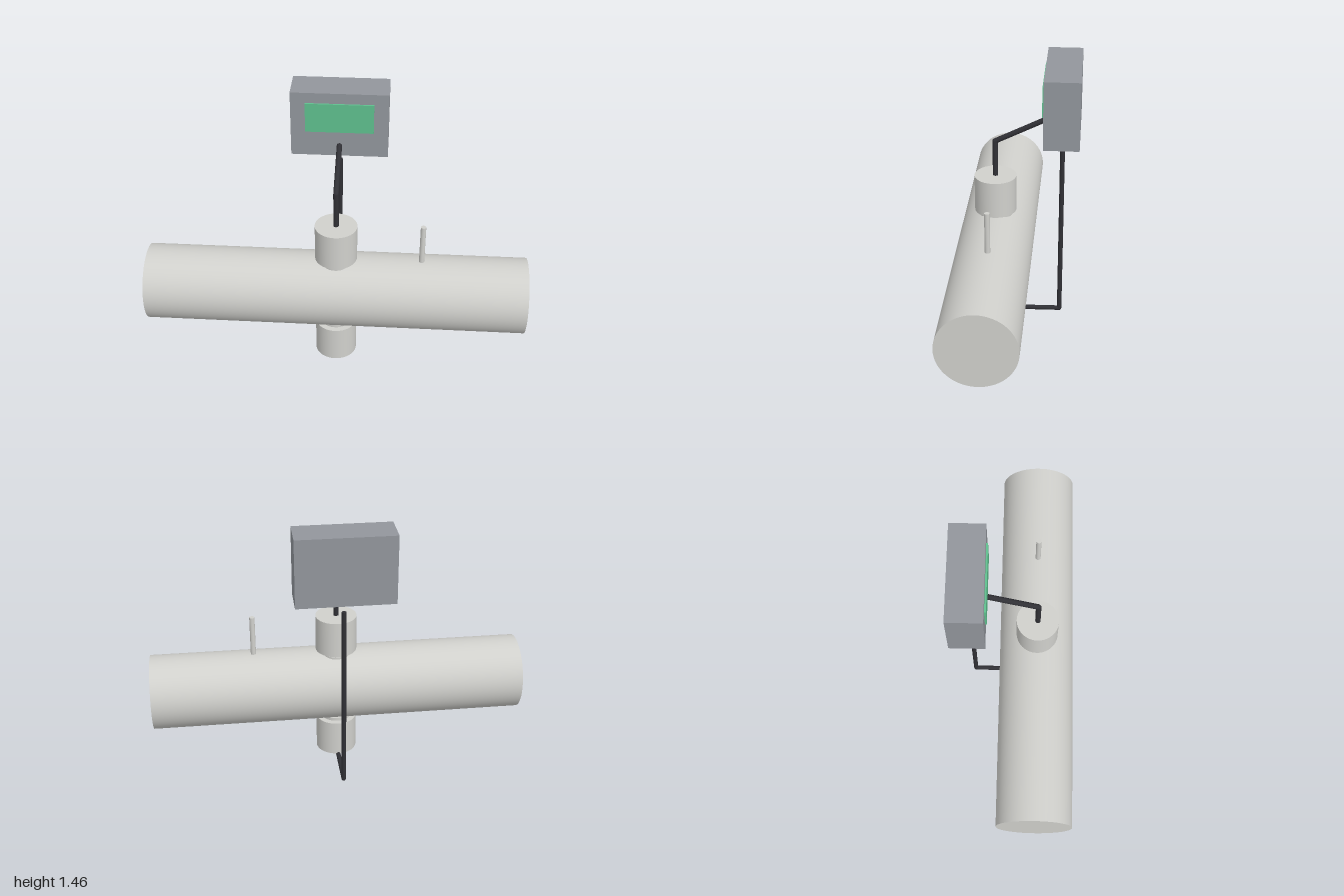
import * as THREE from 'three';

const mat = (name, color) => {
  const m = new THREE.MeshStandardMaterial({ color });
  m.name = name;
  return m;
};

export function createModel() {
  const group = new THREE.Group();
  const steel = mat('steel', 0xd0d0cc);
  const housingGrey = mat('housing grey', 0x92969c);
  const screenGreen = mat('screen green', 0x5fbf8e);
  const cableBlack = mat('cable black', 0x303035);
  const AXIS_Z = 0.118; // the pipe and both sensors share this plane

  const add = (name, geometry, material, x, y, z, parent = group) => {
    const mesh = new THREE.Mesh(geometry, material);
    mesh.name = name;
    mesh.position.set(x, y, z);
    parent.add(mesh);
    return mesh;
  };

  // upright cylinder between two heights
  const post = (name, radius, y0, y1, x = 0, sides = 40) =>
    add(name, new THREE.CylinderGeometry(radius, radius, y1 - y0, sides), steel, x, (y0 + y1) / 2, AXIS_Z);

  // cable along a list of [y, z] points in the middle plane
  const cable = (name, radius, points) => {
    const run = new THREE.Group();
    run.name = name;
    group.add(run);
    const pts = points.map(([y, z]) => new THREE.Vector3(0, y, z));
    for (let i = 1; i < pts.length; i++) {
      const dir = pts[i].clone().sub(pts[i - 1]);
      const mid = pts[i].clone().add(pts[i - 1]).multiplyScalar(0.5);
      const seg = add('cableSegment', new THREE.CylinderGeometry(radius, radius, dir.length(), 12), cableBlack, mid.x, mid.y, mid.z, run);
      seg.quaternion.setFromUnitVectors(new THREE.Vector3(0, 1, 0), dir.normalize());
      // rounded elbow at each bend
      if (i < pts.length - 1) {
        add('cableElbow', new THREE.SphereGeometry(radius, 12, 8), cableBlack, 0, pts[i].y, pts[i].z, run);
      }
    }
  };

  // main pipe
  const pipe = add('pipe', new THREE.CylinderGeometry(0.2, 0.2, 2, 64), steel, 0, 0.43, AXIS_Z);
  pipe.rotation.z = Math.PI / 2;

  // sensor heads above and below, with their stepped necks
  post('upperSensor', 0.11, 0.638, 0.836);
  post('upperNeck', 0.08, 0.6, 0.638);
  post('upperFlange', 0.088, 0.612, 0.624);
  post('lowerSensor', 0.11, 0.02, 0.218);
  post('lowerNeck', 0.08, 0.218, 0.236);

  // thin probe on top of the pipe
  post('probe', 0.014, 0.6, 0.848, 0.447, 16);

  // display unit
  add('displayHousing', new THREE.BoxGeometry(0.5, 0.357, 0.18), housingGrey, 0, 1.278, -0.23);
  add('screen', new THREE.BoxGeometry(0.35, 0.16, 0.009), screenGreen, 0, 1.32, -0.1355);

  // cables from the sensors
  cable('upperCable', 0.014, [[0.82, AXIS_Z], [1.03, AXIS_Z], [1.165, -0.155]]);
  cable('lowerCable', 0.0125, [[0.0135, AXIS_Z], [0.02, -0.23], [1.025, -0.23]]);

  return group;
}
